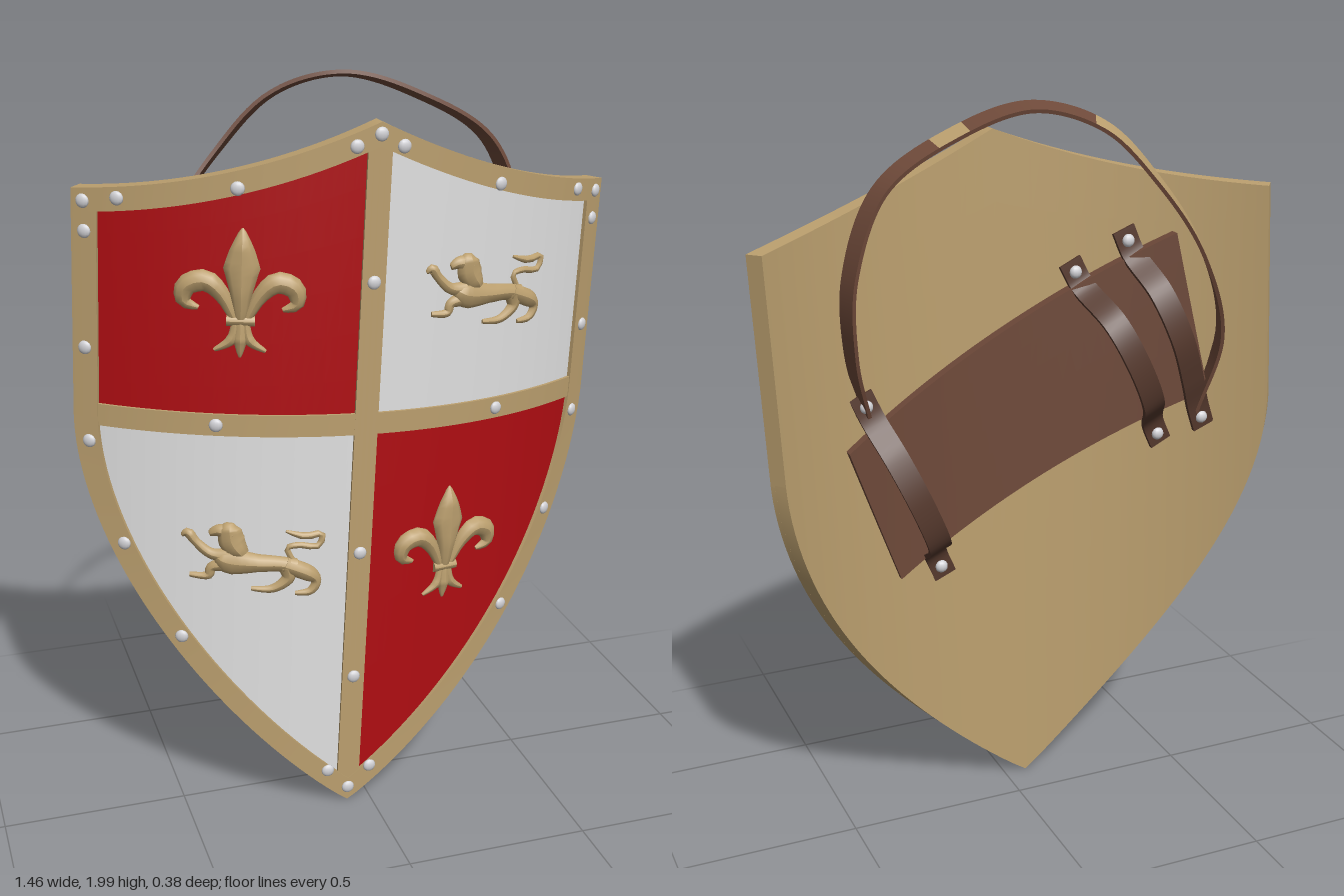
import * as THREE from 'three';

const mat = (name, color) => Object.assign(new THREE.MeshStandardMaterial({ color }), { name });
const R = 1.21, HALF = 0.71, SHOULDER = 1.12;
const lerp = THREE.MathUtils.lerp;
const V2 = (x, y) => new THREE.Vector2(x, y), V3 = (x, y, z) => new THREE.Vector3(x, y, z);

// Curved board: x and y across the face, d is the height along its normal
const bend = (x, y, d) => V3(x + d * x / R, y, Math.sqrt(R * R - x * x) * (1 + d / R) - R);
// Outline: pointed lower edge and the dipping top edge
const low = x => SHOULDER * (1 - Math.pow(Math.max(0, 1 - Math.pow(Math.min(1, Math.abs(x) / HALF), 1.07)), 0.55));
const high = x => {
  const s = 1 - Math.min(1, Math.abs(x) / HALF);
  return 1.705 + 0.075 * s + 0.12 * s * s;
};

// Moves every vertex of a geometry by a rule
function warp(geo, rule) {
  const p = geo.attributes.position;
  for (let i = 0; i < p.count; i++) {
    const v = rule(p.getX(i), p.getY(i), p.getZ(i));
    p.setXYZ(i, v.x, v.y, v.z);
  }
  geo.computeVertexNormals();
  return geo;
}

// Curved plate between two height rules, with columns crowded toward the sides
function slab(x0, x1, lo, hi, d0, d1, nx = 32, ny = 6) {
  const a = Math.asin(x0 / HALF), b = Math.asin(x1 / HALF);
  return warp(new THREE.BoxGeometry(1, 1, 1, nx, ny, 1), (u, v, w) => {
    const x = HALF * Math.sin(lerp(a, b, u + 0.5));
    return bend(x, lerp(lo(x), hi(x), v + 0.5), lerp(d0, d1, w + 0.5));
  });
}

// Puffy tapering stroke laid on the board, for the relief figures
function stroke(points, widths, cx, cy) {
  const path = new THREE.SplineCurve(points.map(p => V2(...p)));
  const n = widths.length - 1;
  return warp(new THREE.CylinderGeometry(1, 1, 1, 10, 14), (x, y, z) => {
    const t = THREE.MathUtils.clamp(y + 0.5, 0, 1);
    const c = path.getPoint(t), g = path.getTangent(t);
    const i = Math.min(n - 1, Math.floor(t * n));
    const w = lerp(widths[i], widths[i + 1], t * n - i);
    return bend(cx + c.x + g.y * x * w, cy + c.y - g.x * x * w, 0.004 + z * Math.min(0.024, w * 0.9));
  });
}

// Flat leather ribbon along a curve; its outer face looks along ref
function ribbon(points, width, thick, ref, t0 = 0, t1 = 1) {
  const path = new THREE.CatmullRomCurve3(points.map(p => V3(...p)));
  return warp(new THREE.BoxGeometry(1, 1, 1, 1, 40, 1), (x, y, z) => {
    const t = THREE.MathUtils.clamp(lerp(t0, t1, y + 0.5), 0, 1);
    const c = path.getPointAt(t), g = path.getTangentAt(t);
    const side = g.clone().cross(ref(c)).normalize();
    const out = side.clone().cross(g);
    return c.addScaledVector(side, x * width).addScaledVector(out, z * thick);
  });
}

export function createModel() {
  const tan = mat('tan', 0xbca06f), red = mat('red', 0xb00d12), white = mat('white', 0xe2e2e2);
  const leather = mat('leather', 0x6f4a3a), dark = mat('darkLeather', 0x573a2e), steel = mat('steel', 0xd2d2d6);
  const model = new THREE.Group();
  const shield = new THREE.Group();
  shield.name = 'shield';
  shield.position.set(-0.065, 0.01, 0.14);
  shield.rotation.set(0.0116, 0, -0.0447);
  model.add(shield);
  const add = (name, geo, material, parent = shield) => {
    const m = new THREE.Mesh(geo, material);
    m.name = name;
    parent.add(m);
    return m;
  };

  // Board and the four painted quarters
  add('board', slab(-HALF, HALF, low, high, -0.035, 0, 64, 10), tan);
  const mid = () => SHOULDER;
  const panelLow = x => Math.min(SHOULDER, low(x) + 0.02), panelHigh = x => high(x) - 0.02;
  add('upperRedQuarter', slab(-0.68, 0, mid, panelHigh, 0, 0.004), red);
  add('upperWhiteQuarter', slab(0, 0.68, mid, panelHigh, 0, 0.004), white);
  add('lowerWhiteQuarter', slab(-0.68, 0, panelLow, mid, 0, 0.004), white);
  add('lowerRedQuarter', slab(0, 0.68, panelLow, mid, 0, 0.004), red);

  // Raised rim and cross bars
  const RIM = 0.055, TOP = 0.014;
  add('topRim', slab(-HALF, HALF, x => high(x) - RIM - 0.005, high, 0, TOP, 64, 1), tan);
  for (const s of [-1, 1]) {
    const a = s < 0 ? -HALF : HALF - RIM, b = s < 0 ? RIM - HALF : HALF;
    add('sideRim', slab(a, b, () => SHOULDER - 0.005, high, 0, TOP, 4, 4), tan);
    add('lowerRim', warp(new THREE.BoxGeometry(1, 1, 1, 1, 40, 1), (u, v, w) => {
      const at = k => { const x = HALF * Math.sin(k * Math.PI / 2); return V2(x, low(x)); };
      const k = v + 0.5, p = at(k);
      const g = at(Math.min(1, k + 0.01)).sub(at(Math.max(0, k - 0.01))).normalize();
      const inset = (0.5 - s * u) * RIM;
      return bend(s * (p.x - g.y * inset), p.y + g.x * inset, (w + 0.5) * TOP);
    }), tan);
  }
  add('uprightBar', slab(-0.031, 0.031, () => 0.05, () => 1.87, 0, 0.012, 4, 1), tan);
  add('crossBar', slab(-0.69, 0.69, () => 1.095, () => 1.153, 0, 0.012, 48, 1), tan);

  // Rivets on rim and bars
  const rivetGeo = new THREE.SphereGeometry(0.018, 12, 8);
  const rivet = (x, y) => {
    const m = add('rivet', rivetGeo, steel);
    m.position.copy(bend(x, y, TOP));
    m.rotation.y = Math.asin(x / R);
    m.scale.z = 0.5;
  };
  [[0.685, 1.675], [0.61, 1.69], [0.682, 1.6], [0.34, 1.733], [0.06, 1.84], [0.683, 1.3], [0.675, 1.05],
    [0.595, 0.775], [0.455, 0.52], [0.06, 0.1], [0.38, 1.124]].forEach(([x, y]) => { rivet(x, y); rivet(-x, y); });
  [1.87, 1.5, 0.76, 0.39, 0.04].forEach(y => rivet(0, y));

  // Relief lilies
  const lily = [
    [[[0, -0.06], [0, 0], [0, 0.07], [0, 0.12], [0, 0.17]], [0.014, 0.026, 0.046, 0.03, 0.002]],
    [[[-0.034, -0.065], [0.034, -0.065]], [0.014, 0.014]],
    [[[0, -0.07], [0, -0.115], [0, -0.16]], [0.012, 0.018, 0.003]],
  ];
  for (const s of [-1, 1]) {
    lily.push([[[s * 0.016, -0.06], [s * 0.045, 0], [s * 0.085, 0.035], [s * 0.128, 0.02], [s * 0.134, -0.02], [s * 0.1, -0.035]],
      [0.01, 0.02, 0.029, 0.027, 0.018, 0.006]]);
    lily.push([[[s * 0.012, -0.07], [s * 0.022, -0.115], [s * 0.062, -0.143]], [0.01, 0.014, 0.005]]);
  }
  // Relief lions walking toward -x
  const lion = [
    [[[-0.095, 0.01], [-0.06, -0.005], [0.01, -0.01], [0.06, -0.012], [0.11, -0.02]], [0.012, 0.04, 0.026, 0.022, 0.022]],
    [[[-0.03, 0.015], [-0.055, 0.05], [-0.062, 0.085], [-0.06, 0.103]], [0.02, 0.036, 0.03, 0.008]],
    [[[-0.055, 0.075], [-0.09, 0.08], [-0.112, 0.07]], [0.026, 0.018, 0.008]],
    [[[-0.07, 0.01], [-0.11, 0.015], [-0.145, 0.045], [-0.165, 0.07], [-0.18, 0.06]], [0.022, 0.015, 0.012, 0.014, 0.004]],
    [[[-0.07, -0.015], [-0.105, -0.025], [-0.115, -0.05], [-0.16, -0.05]], [0.022, 0.014, 0.012, 0.007]],
    [[[0.08, -0.015], [0.14, -0.04], [0.165, -0.065], [0.15, -0.095], [0.11, -0.1]], [0.024, 0.024, 0.014, 0.012, 0.006]],
    [[[0.085, -0.02], [0.09, -0.055], [0.05, -0.085], [-0.005, -0.085]], [0.024, 0.018, 0.012, 0.006]],
    [[[0.105, -0.01], [0.085, 0.03], [0.115, 0.04], [0.165, 0.035], [0.175, 0.07], [0.13, 0.065], [0.08, 0.08]],
      [0.008, 0.008, 0.009, 0.009, 0.009, 0.011, 0.004]],
  ];
  const relief = (name, parts, x, y) => {
    const g = new THREE.Group();
    g.name = name;
    parts.forEach(([pts, w]) => add(name + 'Part', stroke(pts, w, x, y), tan, g));
    shield.add(g);
  };
  relief('upperLily', lily, -0.326, 1.465);
  relief('lowerLily', lily, 0.257, 0.748);
  relief('upperLion', lion, 0.325, 1.455);
  relief('lowerLion', lion, -0.279, 0.75);

  // Slanted arm pad on the back
  const backZ = x => 0.119 - 1.175 + Math.sqrt(1.175 ** 2 - (x + 0.01) ** 2);
  add('armPad', warp(new THREE.BoxGeometry(1, 1, 1, 24, 6, 1), (u, v, w) => {
    const s = u + 0.5, t = v + 0.5;
    const x = lerp(lerp(-0.55, 0.33, s), lerp(-0.46, 0.48, s), t);
    const y = lerp(lerp(1.18, 0.73, s), lerp(1.62, 1.13, s), t);
    return V3(x, y, backZ(x) - 0.012 + w * 0.036);
  }), leather, model);

  // Three arm bands bowed away from the pad, riveted at both ends
  const rearward = () => V3(0, 0, -1);
  for (const [x0, y0, x1, y1] of [[-0.2, 1.52, -0.43, 1.05], [-0.34, 1.6, -0.54, 1.1], [0.42, 1.24, 0.2, 0.73]]) {
    const at = (t, z) => [lerp(x0, x1, t), lerp(y0, y1, t), z];
    const zA = backZ(x0) - 0.012, zB = backZ(x1) - 0.012;
    add('armBand', ribbon([at(-0.06, zA), at(0.08, zA - 0.012), at(0.25, -0.05), at(0.5, -0.085), at(0.75, -0.06),
      at(0.92, zB - 0.012), at(1.06, zB)], 0.065, 0.012, rearward), dark, model);
    for (const [x, y, z] of [at(0, zA - 0.01), at(1, zB - 0.01)]) {
      const m = add('bandRivet', rivetGeo, steel, model);
      m.position.set(x, y, z);
      m.scale.z = 0.7;
    }
  }

  // Shoulder strap, with a pale outer face on two stretches
  const loop = [[-0.53, 1.12, -0.005], [-0.565, 1.35, -0.07], [-0.46, 1.6, -0.14], [-0.31, 1.8, -0.165], [-0.17, 1.94, -0.14],
    [0, 1.99, -0.085], [0.2, 1.93, -0.06], [0.39, 1.81, -0.06], [0.475, 1.6, -0.06], [0.47, 1.4, -0.03], [0.42, 1.22, 0.035]];
  const outward = c => V3(c.x, c.y - 1.3, c.z - 0.1);
  [[0, 0.45, tan], [0.45, 0.6, leather], [0.6, 0.64, tan], [0.64, 1, leather]].forEach(([a, b, outer]) =>
    add('shoulderStrap', ribbon(loop, 0.06, 0.01, outward, a, b),
      [leather, leather, leather, leather, outer, leather], model));

  return model;
}
